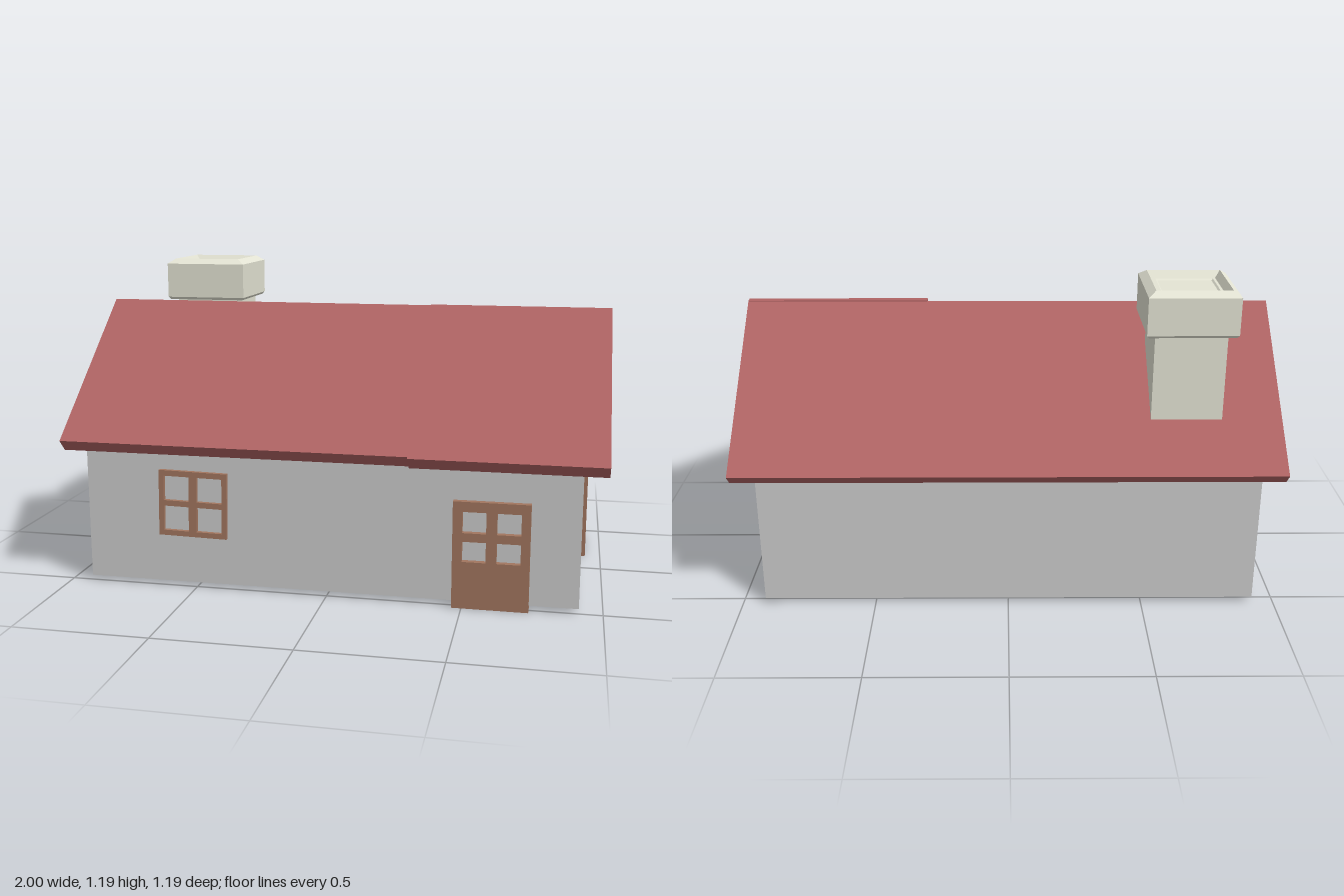
import * as THREE from 'three';

const mat = (color) => new THREE.MeshStandardMaterial({ color, flatShading: true });
const wallMat = mat(0xcccccc);
const roofMat = mat(0xb06464);
const woodMat = mat(0xa2765f);
const stoneMat = mat(0xe4e4d4);

// Prism with a [z, y] outline running along x from x0 to x1
function prism(name, points, x0, x1, material) {
  const shape = new THREE.Shape(points.map(([z, y]) => new THREE.Vector2(-z, y)));
  const geo = new THREE.ExtrudeGeometry(shape, { depth: x1 - x0, bevelEnabled: false });
  geo.rotateY(Math.PI / 2).translate(x0, 0, 0);
  const mesh = new THREE.Mesh(geo, material);
  mesh.name = name;
  return mesh;
}

// Upright wooden panel centred on x, base at y = 0, with rectangular panes [x, y, w, h]
function panel(name, width, height, depth, panes) {
  const rect = (P, x, y, w, h) => new P([
    new THREE.Vector2(x, y), new THREE.Vector2(x + w, y),
    new THREE.Vector2(x + w, y + h), new THREE.Vector2(x, y + h),
  ]);
  const shape = rect(THREE.Shape, -width / 2, 0, width, height);
  for (const p of panes) shape.holes.push(rect(THREE.Path, ...p));
  const geo = new THREE.ExtrudeGeometry(shape, { depth, bevelEnabled: false });
  const mesh = new THREE.Mesh(geo, woodMat);
  mesh.name = name;
  return mesh;
}

export function createModel() {
  const house = new THREE.Group();
  house.name = 'house';

  // Walls with gables
  house.add(prism('walls', [
    [0.505, 0.02], [0.505, 0.535], [-0.013, 0.958], [-0.53, 0.53], [-0.53, 0.02],
  ], -0.92, 0.915, wallMat));

  // Roof: one back slope, and a front slope in two slightly offset sections
  house.add(prism('roofBack', [
    [-0.595, 0.555], [-0.017, 1.03], [-0.013, 0.958], [-0.555, 0.515],
  ], -1, 1, roofMat));
  house.add(prism('roofFrontLong', [
    [0.565, 0.558], [-0.017, 1.03], [-0.013, 0.95], [0.525, 0.515],
  ], -1, 0.31, roofMat));
  house.add(prism('roofFrontShort', [
    [0.597, 0.56], [0.014, 1.033], [-0.018, 1.033], [-0.013, 0.979], [0.558, 0.517],
  ], 0.31, 1, roofMat));

  // Chimney: square lathe of shaft, flared cap and shallow recess
  const profile = [
    [0.13, 0.6], [0.13, 1.022], [0.155, 1.022], [0.163, 1.032], [0.163, 1.17],
    [0.135, 1.19], [0.116, 1.165], [0.106, 1.165], [0.1, 1.16], [0, 1.16],
  ].map(([r, y]) => new THREE.Vector2(r * Math.SQRT2, y));
  const chimney = new THREE.Mesh(
    new THREE.LatheGeometry(profile, 4).rotateY(Math.PI / 4).toNonIndexed(), stoneMat);
  chimney.geometry.computeVertexNormals();
  chimney.name = 'chimney';
  chimney.position.set(-0.65, 0, -0.288);
  house.add(chimney);

  // Front door with four panes
  const upper = [[-0.103, 0.282, 0.085, 0.078], [0.02, 0.282, 0.085, 0.078]];
  const lower = upper.map(([x, , w]) => [x, 0.175, w, 0.075]);
  const frontDoor = panel('frontDoor', 0.275, 0.397, 0.068, [...upper, ...lower]);
  frontDoor.position.set(0.602, 0, 0.46);
  house.add(frontDoor);

  // Side door with two panes
  const sideDoor = panel('sideDoor', 0.275, 0.397, 0.07, upper);
  sideDoor.rotation.y = Math.PI / 2;
  sideDoor.position.set(0.87, 0, -0.283);
  house.add(sideDoor);

  // Front window, hung slightly askew
  const panes = [];
  for (const x of [-0.112, 0.015]) for (const y of [0.02, 0.135]) panes.push([x, y, 0.097, 0.094]);
  const frontWindow = panel('frontWindow', 0.262, 0.25, 0.05, panes);
  frontWindow.position.set(-0.506, 0.202, 0.471);
  frontWindow.rotation.z = -0.02;
  house.add(frontWindow);

  return house;
}
